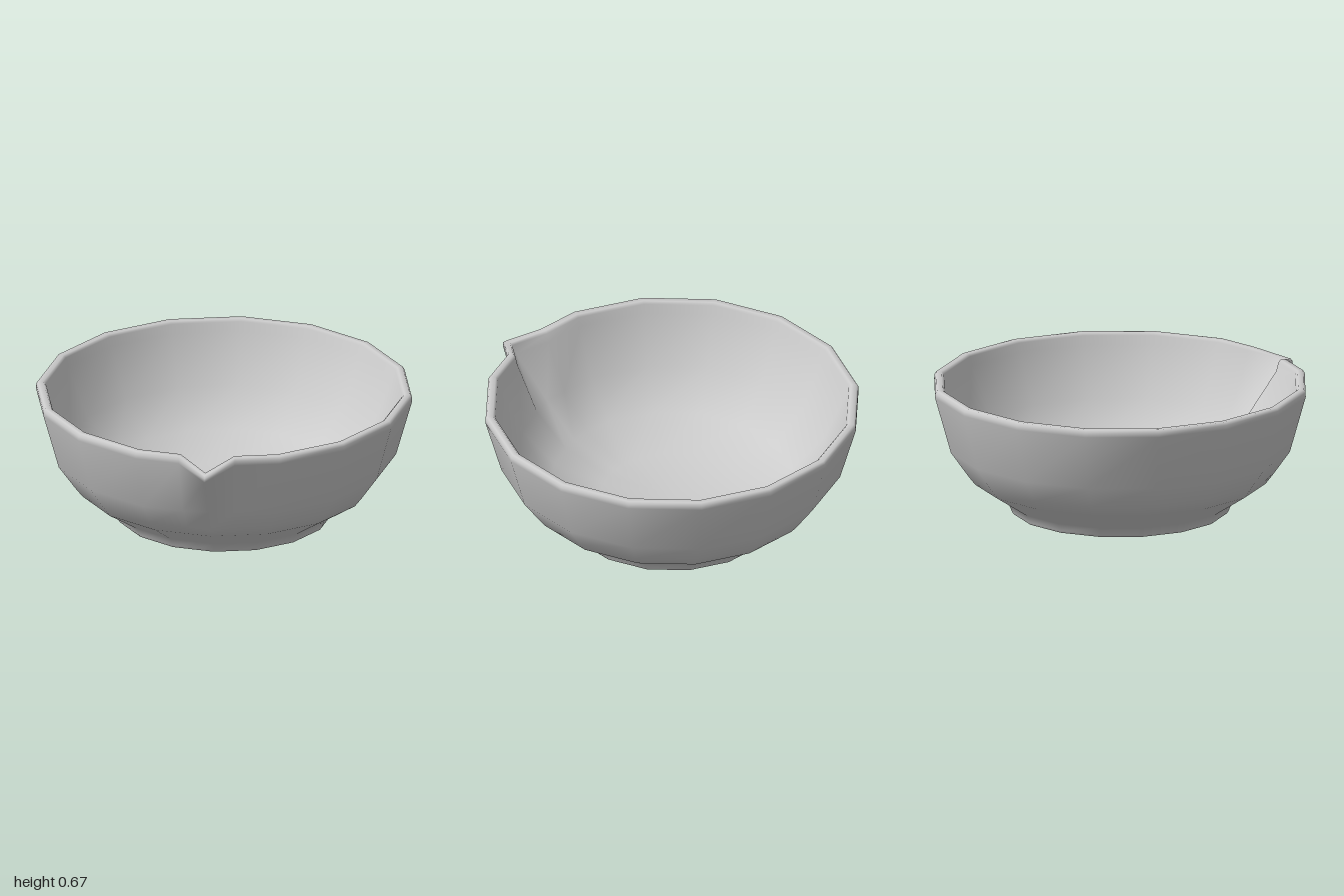
import * as THREE from 'three';
import { mergeVertices } from 'three/addons/utils/BufferGeometryUtils.js';

const SIDES = 16;
const CENTRE_Z = -0.05;

// [radius, height] from the foot, up the outside, over the lip, down the inside
const PROFILE = [
  [0.545, 0], [0.554, 0.012], [0.57, 0.052], [0.745, 0.167], [0.785, 0.22], [0.869, 0.34],
  [0.95, 0.63], [0.949, 0.652], [0.94, 0.667], [0.912, 0.667], [0.9, 0.655],
  [0.888, 0.61], [0.775, 0.36], [0.61, 0.19], [0.36, 0.105], [0, 0.085],
];

// the front column from the shoulder to the inner wall, pulled out and lowered into a spout
const SPOUT_START = 5;
const SPOUT = [
  [0.842, 0.34], [1.05, 0.585], [1.05, 0.605], [1.04, 0.617],
  [1.005, 0.619], [0.992, 0.61], [0.965, 0.57], [0.775, 0.36],
];

function bowlGeometry() {
  const at = ([r, y], k) => {
    const a = (k / SIDES) * Math.PI * 2;
    return new THREE.Vector3(r * Math.sin(a), y, r * Math.cos(a));
  };
  const spoutAt = (i) => SPOUT[i - SPOUT_START] ?? PROFILE[i];

  // each column is one profile; two extra ones flank the spout on the front facets
  const columns = [PROFILE.map((p, i) => at(spoutAt(i), 0))];
  const flank = (k) => PROFILE.map((p) => at(p, 0).lerp(at(p, k), 0.39));
  columns.push(flank(1));
  for (let k = 1; k < SIDES; k++) columns.push(PROFILE.map((p) => at(p, k)));
  columns.push(flank(-1));

  const rows = PROFILE.length;
  const positions = columns.flat().flatMap((v) => [v.x, v.y, v.z]);
  const index = [];
  for (let c = 0; c < columns.length; c++) {
    const next = (c + 1) % columns.length;
    for (let i = 0; i < rows - 1; i++) {
      const a = c * rows + i;
      const b = next * rows + i;
      index.push(a, b, b + 1);
      if (i < rows - 2) index.push(a, b + 1, a + 1);
    }
  }
  let geometry = new THREE.BufferGeometry();
  geometry.setAttribute('position', new THREE.Float32BufferAttribute(positions, 3));
  geometry.setIndex(index);
  geometry = mergeVertices(geometry, 1e-5);
  geometry.computeVertexNormals();
  return geometry;
}

export function createModel() {
  const group = new THREE.Group();
  group.name = 'spoutedBowl';
  const material = new THREE.MeshStandardMaterial({ color: 0xcccccc });

  // bowl wall with lip and pouring spout
  const bowl = new THREE.Mesh(bowlGeometry(), material);
  bowl.name = 'bowl';

  // flat underside of the foot
  const base = new THREE.Mesh(
    new THREE.CircleGeometry(PROFILE[0][0], SIDES).rotateX(Math.PI / 2),
    material,
  );
  base.name = 'footBase';

  group.add(bowl, base);
  group.position.z = CENTRE_Z;
  return group;
}
